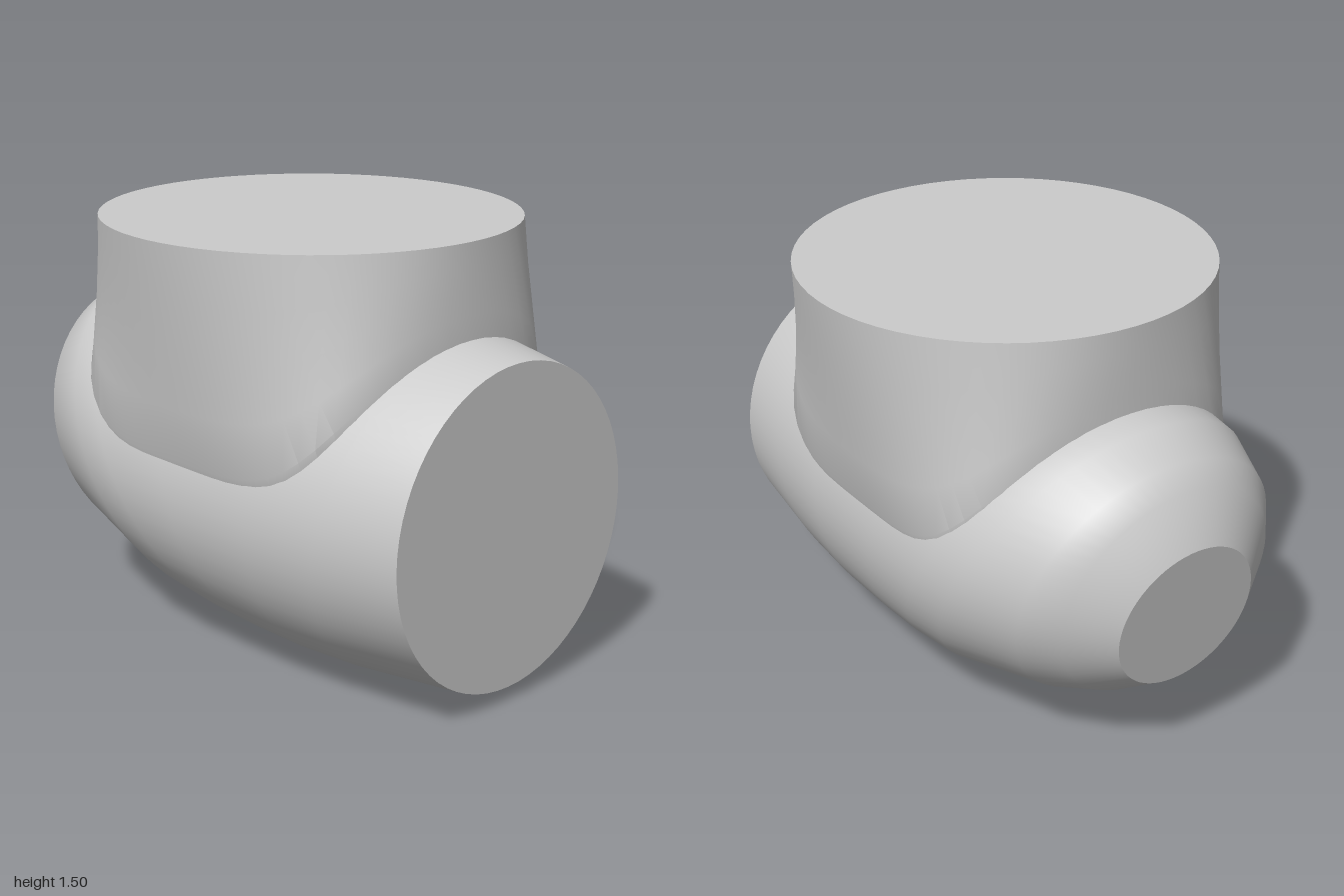
import * as THREE from 'three';
import { toCreasedNormals } from 'three/addons/utils/BufferGeometryUtils.js';

const SIDES = 64;

// Skins a list of rings (arrays of Vector3) and closes the chosen ends with flat caps.
function loft(name, rings, capStart, capEnd) {
  const pos = [];
  const tri = (...pts) => pts.forEach((p) => pos.push(p.x, p.y, p.z));
  const centre = (ring) =>
    ring.reduce((sum, p) => sum.add(p), new THREE.Vector3()).divideScalar(ring.length);
  const first = rings[0], last = rings[rings.length - 1];
  const c0 = centre(first), c1 = centre(last);
  for (let j = 0; j < SIDES; j++) {
    const k = (j + 1) % SIDES;
    for (let i = 0; i < rings.length - 1; i++) {
      const a = rings[i], b = rings[i + 1];
      tri(a[j], a[k], b[j]);
      tri(a[k], b[k], b[j]);
    }
    if (capStart) tri(c0, first[k], first[j]);
    if (capEnd) tri(c1, last[j], last[k]);
  }
  const geo = new THREE.BufferGeometry();
  geo.setAttribute('position', new THREE.Float32BufferAttribute(pos, 3));
  const mesh = new THREE.Mesh(
    toCreasedNormals(geo, 0.5),
    new THREE.MeshStandardMaterial({ color: 0xcccccc })
  );
  mesh.name = name;
  return mesh;
}

const makeRing = (fn) =>
  Array.from({ length: SIDES }, (_, j) => fn((j / SIDES) * Math.PI * 2));

// Elliptical section spanned by its top and bottom points, with a half width.
function bodyRing([topZ, topY, botZ, botY, halfWidth]) {
  return makeRing((a) => {
    const t = (1 + Math.cos(a)) / 2;
    return new THREE.Vector3(
      halfWidth * Math.sin(a),
      THREE.MathUtils.lerp(botY, topY, t),
      THREE.MathUtils.lerp(botZ, topZ, t)
    );
  });
}

export function createModel() {
  const group = new THREE.Group();
  group.name = 'roundedJoint';

  // Lying barrel: flat front, tapering and tilting towards the back
  const sections = [
    [1.0, 1.15, 1.0, 0.055, 0.54],
    [0.8, 1.187, 0.57, 0.01, 0.585],
    [0.4, 1.195, 0.37, 0.002, 0.603],
    [-0.2, 1.2, 0.2, 0.008, 0.607],
    [-0.65, 1.197, 0.08, 0.016, 0.603],
    [-0.75, 1.185, -0.15, 0.04, 0.585],
    [-0.87, 1.11, -0.6, 0.165, 0.5],
    [-0.93, 1.04, -0.77, 0.24, 0.41],
    [-1.0, 0.865, -0.91, 0.335, 0.265],
  ];
  group.add(loft('barrel', sections.map(bodyRing), true, true));

  // Upright collar: its saddle-shaped foot follows the barrel, its top is a flat disc
  const foot = makeRing((a) => {
    const t = Math.cos(a);
    const y = 0.74 + 0.45 * t ** 4;
    const x = 0.617 * Math.sqrt(Math.max(0, 1 - ((y - 0.6) / 0.59) ** 2));
    return new THREE.Vector3(x * Math.sign(Math.sin(a)), y, 0.08 + 0.725 * t);
  });
  const rim = makeRing(
    (a) => new THREE.Vector3(0.715 * Math.sin(a), 1.5, 0.07 + 0.72 * Math.cos(a))
  );
  const sunk = foot.map((p) => new THREE.Vector3(p.x * 0.96, p.y - 0.06, p.z));
  const between = (t) => foot.map((p, j) => p.clone().lerp(rim[j], t));
  const rings = [sunk, foot, between(0.25), between(0.5), between(0.75), rim];
  group.add(loft('collar', rings, false, true));

  return group;
}
